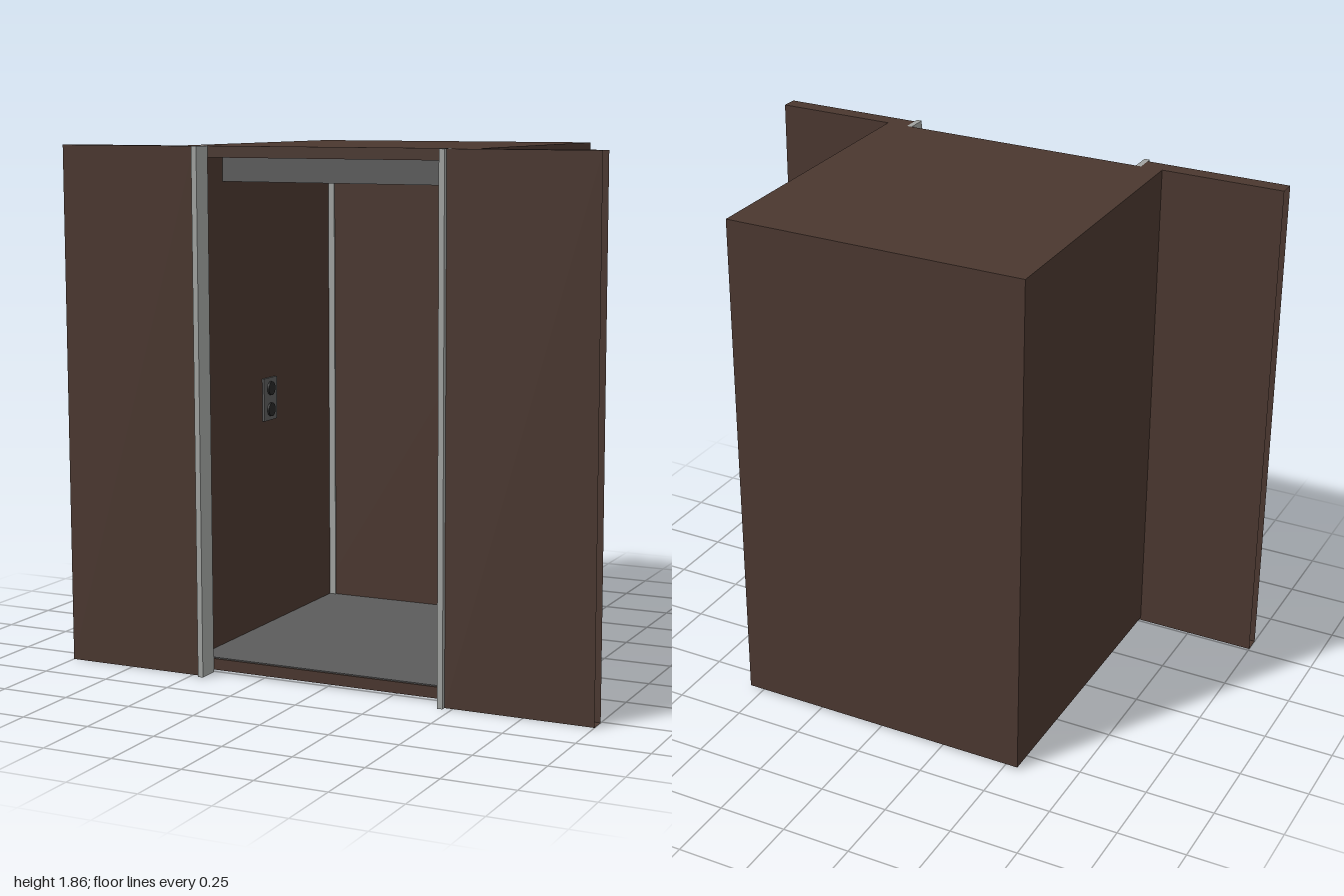
import * as THREE from 'three';

const mat = (name, color) => {
  const m = new THREE.MeshStandardMaterial({ color });
  m.name = name;
  return m;
};

export function createModel() {
  const model = new THREE.Group();
  model.name = 'elevatorCabin';

  const brown = mat('brownPanel', 0x4a372f);
  const openBrown = mat('brownSheet', 0x4a372f);
  openBrown.side = THREE.DoubleSide;
  const steel = mat('steel', 0xa0a3a0);
  const grey = mat('darkGrey', 0x5b5b5b);
  const black = mat('buttonBlack', 0x262626);

  // Box given by its lower and upper limits on each axis
  function slab(name, material, [x0, x1], [y0, y1], [z0, z1], parent = model) {
    const mesh = new THREE.Mesh(new THREE.BoxGeometry(x1 - x0, y1 - y0, z1 - z0), material);
    mesh.position.set((x0 + x1) / 2, (y0 + y1) / 2, (z0 + z1) / 2);
    mesh.name = name;
    parent.add(mesh);
    return mesh;
  }

  // Cabin shell, open at the front
  slab('base', brown, [-0.55, 0.55], [0.01, 0.05], [-0.59, 0.51]);
  slab('roof', brown, [-0.55, 0.55], [1.82, 1.86], [-0.59, 0.51]);
  slab('backWall', brown, [-0.55, 0.55], [0.05, 1.82], [-0.59, -0.54]);

  // Floor covering and lowered ceiling
  slab('floorCovering', grey, [-0.51, 0.51], [0.05, 0.054], [-0.54, 0.505]);
  slab('ceilingPanel', grey, [-0.51, 0.51], [1.73, 1.82], [-0.54, 0.3]);

  for (const side of [-1, 1]) {
    const span = (a, b) => (side > 0 ? [a, b] : [-b, -a]);
    const tag = side > 0 ? 'left' : 'right';

    slab(tag + 'SideWall', brown, span(0.51, 0.55), [0.05, 1.82], [-0.54, 0.51]);
    slab(tag + 'CornerTrim', steel, span(0.485, 0.51), [0.054, 1.73], [-0.54, -0.535]);

    // Landing wall, a hollow sleeve open at both ends
    const wall = slab(tag + 'LandingWall', openBrown, span(0.47, 1), [0, 1.86], [0.51, 0.57]);
    const index = Array.from(wall.geometry.index.array).slice(12);
    wall.geometry.setIndex(index);
    wall.geometry.clearGroups();

    // Door jamb
    slab(tag + 'DoorJamb', steel, span(0.45, 0.47), [0, 1.86], [0.51, 0.588]);
  }

  // Control panel with two round buttons on the inner side wall
  const panel = new THREE.Group();
  panel.name = 'controlPanel';
  slab('controlPlate', grey, [-0.51, -0.502], [0.83, 0.99], [-0.08, 0.02], panel);
  for (const y of [0.87, 0.95]) {
    const button = new THREE.Mesh(new THREE.CylinderGeometry(0.026, 0.026, 0.008, 20), black);
    button.rotation.z = Math.PI / 2;
    button.position.set(-0.499, y, -0.03);
    button.name = 'button';
    panel.add(button);
  }
  model.add(panel);

  return model;
}
